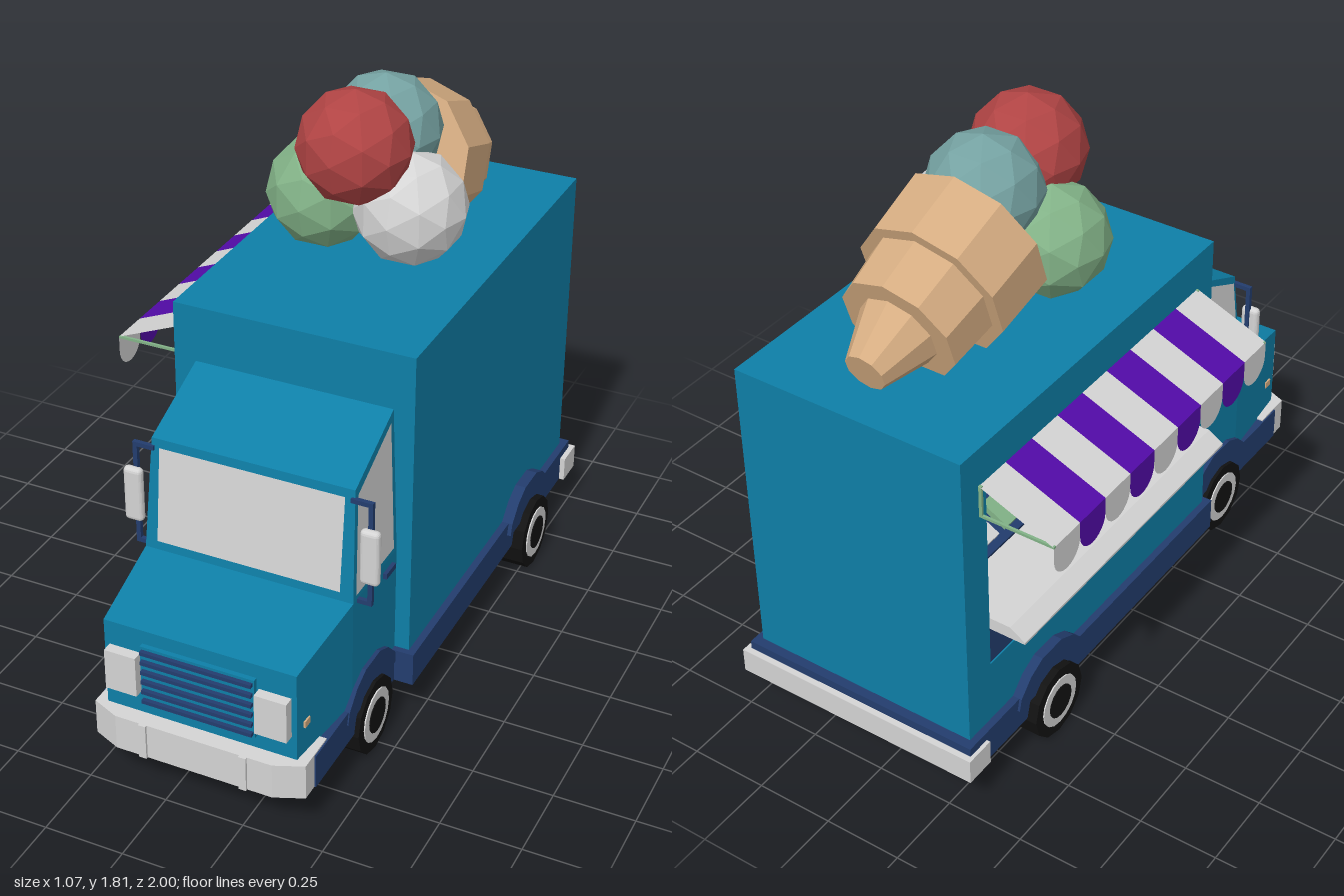
import * as THREE from 'three';
import { RoundedBoxGeometry } from 'three/addons/geometries/RoundedBoxGeometry.js';

const mat = (name, color, side = THREE.FrontSide) => {
  const m = new THREE.MeshStandardMaterial({ color, side });
  m.name = name;
  return m;
};

// Faceted normals
function flat(g) {
  const f = g.index ? g.toNonIndexed() : g;
  f.computeVertexNormals();
  return f;
}

// Side profile of [z, y] points, extruded across x and centred on it
function profile(points, width, hole) {
  const toPath = (p) => p.map(([z, y]) => new THREE.Vector2(z, y));
  const shape = new THREE.Shape(toPath(points));
  if (hole) shape.holes.push(new THREE.Path(toPath(hole)));
  return new THREE.ExtrudeGeometry(shape, { depth: width, bevelEnabled: false })
    .translate(0, 0, -width / 2).rotateY(-Math.PI / 2);
}

// Flat polygon from corner points, fanned from the first
function plate(corners) {
  const pos = [];
  for (let i = 1; i < corners.length - 1; i++) pos.push(...corners[0], ...corners[i], ...corners[i + 1]);
  const g = new THREE.BufferGeometry();
  g.setAttribute('position', new THREE.Float32BufferAttribute(pos, 3));
  return g;
}

export function createModel() {
  const both = THREE.DoubleSide;
  const teal = mat('teal paint', 0x0e7fa7);
  const navy = mat('navy trim', 0x233d6e);
  const white = mat('light grey', 0xd4d4d4, both);
  const black = mat('black rubber', 0x121212);
  const purple = mat('purple canvas', 0x520ba8, both);
  const tan = mat('wafer', 0xd6ad82);
  const red = mat('red ice cream', 0xb04444);
  const green = mat('green ice cream', 0x82b287);
  const mint = mat('blue green ice cream', 0x75a2a2);

  const model = new THREE.Group();
  const truck = new THREE.Group();
  truck.name = 'truck';
  truck.position.x = 0.09; // the awning overhangs on one side
  model.add(truck);

  const add = (name, geometry, material, x = 0, y = 0, z = 0) => {
    const m = new THREE.Mesh(flat(geometry), material);
    m.name = name;
    m.position.set(x, y, z);
    truck.add(m);
    return m;
  };
  // Box given by its limits
  const block = (name, material, x0, x1, y0, y1, z0, z1) =>
    add(name, new THREE.BoxGeometry(x1 - x0, y1 - y0, z1 - z0), material,
      (x0 + x1) / 2, (y0 + y1) / 2, (z0 + z1) / 2);

  // Cargo box with a serving hatch on its right side
  const rect = (z0, z1, y0, y1) => [[z0, y0], [z1, y0], [z1, y1], [z0, y1]];
  block('cargoLeftWall', teal, 0.35, 0.38, 0.24, 1.24, -0.95, 0.34);
  block('cargoRoof', teal, -0.385, 0.38, 1.18, 1.24, -0.95, 0.34);
  block('cargoRearWall', teal, -0.385, 0.38, 0.24, 1.24, -0.95, -0.92);
  block('cargoFrontWall', teal, -0.385, 0.38, 0.24, 1.24, 0.31, 0.34);
  add('cargoHatchWall', profile(rect(-0.95, 0.34, 0.24, 1.24), 0.03, rect(-0.84, 0.24, 0.45, 1.11)), teal, -0.37);

  // Chassis, sills and wheel arches
  block('rearChassis', navy, -0.408, 0.403, 0.13, 0.24, -0.98, 0.36);
  block('frontChassis', navy, -0.342, 0.342, 0.13, 0.24, 0.34, 0.9);
  const arch = [[-0.17, 0.2], [0.17, 0.2], [0.16, 0.24], [0.11, 0.29], [0.05, 0.318],
    [-0.05, 0.318], [-0.11, 0.29], [-0.16, 0.24]];

  // Cab: narrows toward the roof and the nose
  const half = (y, z) => 0.333 - 0.038 * Math.max(0, y - 0.59) - 0.1 * Math.max(0, z - 0.64);
  const cabPart = (name, points) => {
    const g = profile(points, 2);
    const p = g.attributes.position;
    for (let i = 0; i < p.count; i++) p.setX(i, p.getX(i) * half(p.getY(i), p.getZ(i)));
    add(name, g, teal);
  };
  cabPart('cabLower', rect(0.33, 0.64, 0.2, 0.59));
  cabPart('cabUpper', [[0.33, 0.59], [0.64, 0.59], [0.603, 0.945], [0.33, 1.065]]);
  cabPart('nose', [[0.64, 0.2], [0.94, 0.2], [0.94, 0.535], [0.64, 0.59]]);
  const windshieldZ = (y) => 0.645 - (y - 0.59) * 0.104;
  add('windshield', plate([[-0.292, 0.62], [0.292, 0.62], [0.292, 0.92], [-0.292, 0.92]]
    .map(([x, y]) => [x, y, windshieldZ(y)])), white);

  // Grille
  block('grillePanel', teal, -0.18, 0.18, 0.29, 0.49, 0.93, 0.955);
  for (let i = 0; i < 6; i++) {
    const y = 0.305 + i * 0.034;
    block('grilleBar', navy, -0.175, 0.175, y - 0.006, y + 0.006, 0.95, 0.968);
  }

  // Bumpers
  const bumper = new THREE.Shape([[-0.337, 0.82], [0.337, 0.82], [0.337, 0.955], [0.25, 0.992],
    [-0.25, 0.992], [-0.337, 0.955]].map(([x, z]) => new THREE.Vector2(x, z)));
  add('frontBumper', new THREE.ExtrudeGeometry(bumper, { depth: 0.115, bevelEnabled: false })
    .rotateX(Math.PI / 2), white, 0, 0.245);
  block('rearBumper', white, -0.42, 0.42, 0.13, 0.212, -1.0, -0.9);

  for (const s of [-1, 1]) {
    const sideBlock = (name, material, x0, x1, ...rest) =>
      block(name, material, Math.min(s * x0, s * x1), Math.max(s * x0, s * x1), ...rest);

    add('frontArch', profile(arch, 0.1), navy, s * 0.296, 0, 0.524);
    add('rearArch', profile(arch, 0.1), navy, s * 0.366, 0, -0.575);

    // Wheels
    for (const [name, z, outer, width] of [['front', 0.524, 0.357, 0.085], ['rear', -0.575, 0.44, 0.165]]) {
      const disc = (part, r, w, x, material, n) =>
        add(name + part, new THREE.CylinderGeometry(r, r, w, n).rotateZ(Math.PI / 2), material, s * x, 0.122, z);
      disc('Tyre', 0.122, width, outer - width / 2, black, 12);
      disc('Rim', 0.086, 0.008, outer, white, 16);
      disc('Hub', 0.056, 0.008, outer + 0.003, black, 16);
    }

    // Side window, door handle and marker lamp
    const glass = [[0.61, 0.365], [0.61, 0.625], [0.925, 0.592], [1.03, 0.365]]
      .map(([y, z]) => [s * (half(y, z) + 0.003), y, z]);
    add('sideWindow', plate(s > 0 ? glass.reverse() : glass), white);
    sideBlock('doorHandle', navy, 0.325, 0.345, 0.546, 0.564, 0.37, 0.435);
    sideBlock('markerLamp', tan, 0.3, 0.313, 0.335, 0.357, 0.875, 0.905);

    // Headlamp and bumper ridge
    sideBlock('headlamp', white, 0.187, 0.287, 0.322, 0.455, 0.93, 0.973);
    sideBlock('bumperRidge', white, 0.148, 0.172, 0.13, 0.245, 0.98, 1.0);

    // Mirror on its bracket
    for (const y of [0.585, 0.915]) sideBlock('mirrorArm', navy, 0.31, 0.378, y - 0.007, y + 0.007, 0.6, 0.614);
    sideBlock('mirrorPost', navy, 0.364, 0.378, 0.578, 0.922, 0.6, 0.614);
    add('mirror', new RoundedBoxGeometry(0.06, 0.18, 0.03, 2, 0.014), white, s * 0.375, 0.75, 0.62);
  }

  // Serving counter
  const counter = new THREE.Shape([[-0.505, 0.585], [-0.2, 0.585], [-0.2, 0.625], [-0.455, 0.625], [-0.505, 0.592]]
    .map(([x, y]) => new THREE.Vector2(x, y)));
  add('counter', new THREE.ExtrudeGeometry(counter, { depth: 1.08, bevelEnabled: false }), white, 0, 0, -0.84);
  block('counterFront', navy, -0.38, -0.34, 0.44, 0.59, -0.85, 0.25);

  // Sloping display of ice cream tubs
  const display = new THREE.Group();
  display.name = 'display';
  display.position.set(-0.06, 0.74, -0.3);
  display.rotation.z = 0.5;
  truck.add(display);
  const tray = new THREE.Mesh(new THREE.BoxGeometry(0.42, 0.04, 1.08), navy);
  tray.name = 'displayTray';
  display.add(tray);
  const flavours = [red, tan, white, mint, green];
  for (let row = 0; row < 3; row++) {
    for (let i = 0; i < 8; i++) {
      const tub = new THREE.Mesh(new THREE.BoxGeometry(0.1, 0.03, 0.095), flavours[(i * 2 + row) % 5]);
      tub.name = 'iceCreamTub';
      tub.position.set((row - 1) * 0.135, 0.025, (i - 3.5) * 0.133);
      display.add(tub);
    }
  }

  // Striped awning with a scalloped valance
  const w = 0.125;
  for (let i = 0; i < 9; i++) {
    const z = -0.875 + i * w;
    const material = i % 2 ? purple : white;
    add('awningStripe', plate([[-0.387, 1.12, z], [-0.627, 1.02, z], [-0.627, 1.02, z + w], [-0.387, 1.12, z + w]]), material);
    const flap = new THREE.Shape();
    flap.moveTo(0, 0).lineTo(0, -0.05).absarc(w / 2, -0.05, w / 2, Math.PI, 2 * Math.PI, false).lineTo(w, 0);
    add('awningValance', new THREE.ShapeGeometry(flap, 6).rotateY(-Math.PI / 2), material, -0.627, 1.02, z);
  }
  for (const z of [-0.87, 0.245]) {
    block('awningArm', green, -0.627, -0.385, 1.014, 1.022, z - 0.004, z + 0.004);
    block('awningMount', green, -0.395, -0.385, 1.014, 1.12, z - 0.004, z + 0.004);
  }

  // Giant ice cream on the roof
  const cone = [[0, 0], [0.245, 0], [0.235, 0.21], [0.2, 0.21], [0.185, 0.37], [0.125, 0.37], [0.065, 0.53], [0, 0.53]]
    .map(([r, y]) => new THREE.Vector2(r, y));
  add('cone', new THREE.LatheGeometry(cone, 10), tan, 0, 1.485, -0.345).rotation.x = -1.89;
  for (const [name, material, x, y, z] of [
    ['redScoop', red, 0, 1.64, -0.07], ['mintScoop', mint, 0, 1.61, -0.285],
    ['whiteScoop', white, 0.14, 1.435, -0.16], ['greenScoop', green, -0.14, 1.435, -0.16],
  ]) add(name, new THREE.IcosahedronGeometry(0.175, 1), material, x, y, z);

  return model;
}
